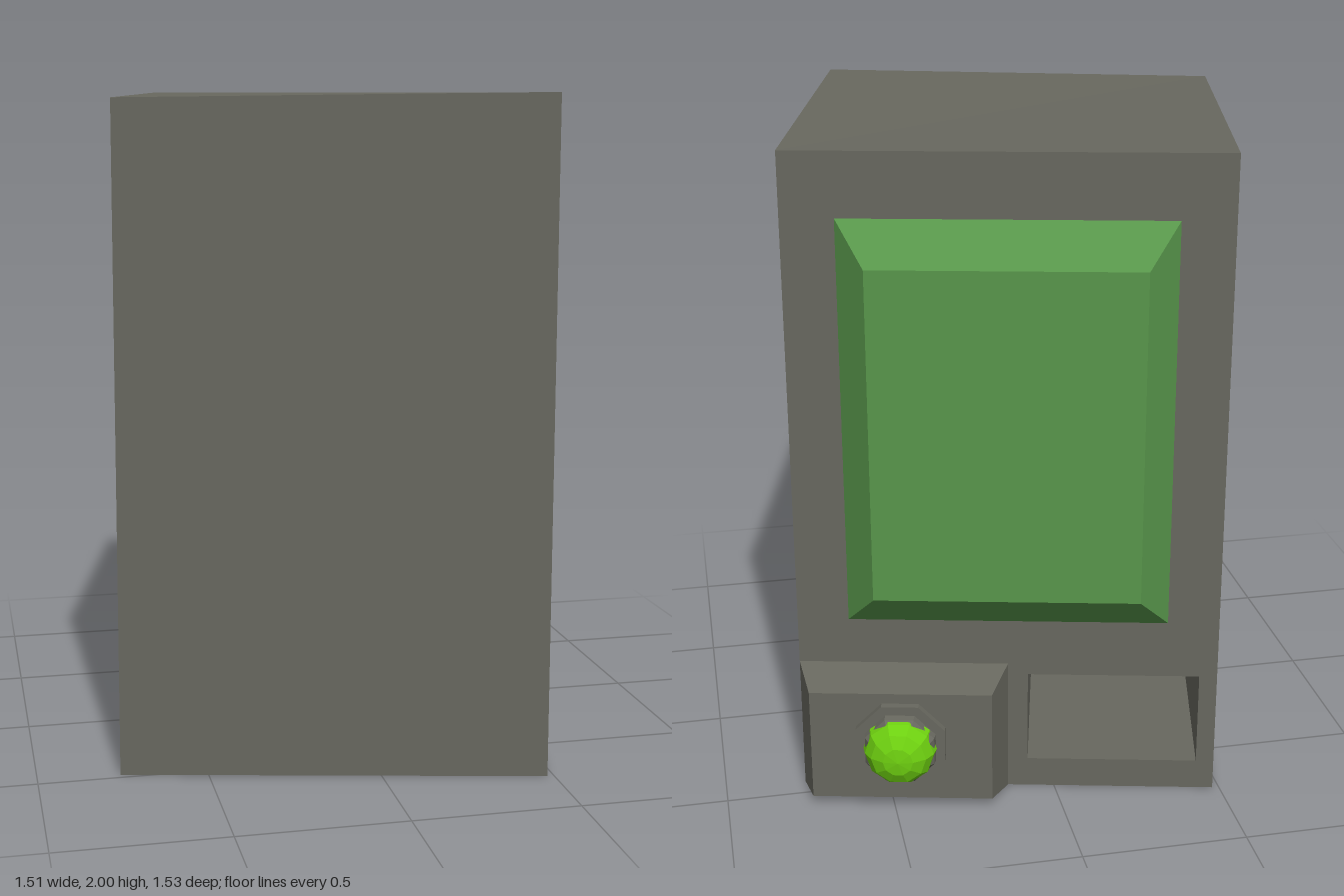
import * as THREE from 'three';

const W = 0.634, D = 0.616, H = 2; // half width, half depth, height of the case

const material = (name, color) => {
  const m = new THREE.MeshStandardMaterial({ color });
  m.name = name;
  return m;
};

// Faceted normals for low-poly shapes
function faceted(geometry) {
  const g = geometry.index ? geometry.toNonIndexed() : geometry;
  g.computeVertexNormals();
  return g;
}

// Box without one of its six faces (order: +x, -x, +y, -y, +z, -z)
function openBox(w, h, d, face) {
  const g = new THREE.BoxGeometry(w, h, d);
  const index = Array.from(g.index.array);
  index.splice(face * 6, 6);
  g.setIndex(index);
  g.clearGroups();
  return g;
}

// Block standing out from the back, with its outer face inset on all sides
function bevelledBlock(x0, x1, y0, y1, depth, insetX, insetY) {
  const g = new THREE.BoxGeometry(x1 - x0, y1 - y0, depth);
  const p = g.attributes.position;
  for (let i = 0; i < p.count; i++) {
    if (p.getZ(i) < 0) {
      p.setX(i, p.getX(i) - Math.sign(p.getX(i)) * insetX);
      p.setY(i, p.getY(i) - Math.sign(p.getY(i)) * insetY);
    }
  }
  g.translate((x0 + x1) / 2, (y0 + y1) / 2, -D - depth / 2);
  return faceted(g);
}

// Turned shape whose axis points out of the back
function turned(points, sides) {
  const g = new THREE.LatheGeometry(points.map(([r, y]) => new THREE.Vector2(r, y)), sides);
  g.rotateY(Math.PI / sides);
  g.rotateX(-Math.PI / 2);
  return faceted(g);
}

export function createModel() {
  const grey = material('case grey', 0x68685f);
  const green = material('window green', 0x58964b);
  const lime = material('bright lime', 0x6ed010);

  const model = new THREE.Group();
  model.name = 'cabinet';
  const body = new THREE.Group();
  body.name = 'turnedCabinet';
  body.rotation.y = -0.2265;
  body.position.z = 0.021;
  model.add(body);
  const add = (name, geometry, mat, parent = body) => {
    const mesh = new THREE.Mesh(geometry, mat);
    mesh.name = name;
    parent.add(mesh);
    return mesh;
  };

  // Case, open at the back, with one slightly sunken top corner
  const shell = openBox(2 * W, H, 2 * D, 5).translate(0, H / 2, 0);
  const p = shell.attributes.position;
  for (let i = 0; i < p.count; i++) {
    if (p.getX(i) < 0 && p.getY(i) > 1 && p.getZ(i) > 0) p.setXYZ(i, -W + 0.01, H - 0.015, D - 0.006);
  }
  add('case', faceted(shell), grey);

  // Back panel with the slot opening
  const slot = { x0: -0.58, x1: -0.06, y0: 0.095, y1: 0.39, depth: 0.6 };
  const panel = new THREE.Shape([[-W, 0], [W, 0], [W, H], [-W, H]].map(([x, y]) => new THREE.Vector2(-x, y)).reverse());
  panel.holes.push(new THREE.Path([
    [slot.x0, slot.y0], [slot.x1, slot.y0], [slot.x1, slot.y1], [slot.x0, slot.y1],
  ].map(([x, y]) => new THREE.Vector2(-x, y))));
  add('backPanel', new THREE.ShapeGeometry(panel).rotateY(Math.PI).translate(0, 0, -D), grey);

  // Slot interior: a box turned inside out, open at the back panel
  const inside = openBox(slot.x1 - slot.x0, slot.y1 - slot.y0, slot.depth, 4).scale(1, 1, -1);
  inside.translate((slot.x0 + slot.x1) / 2, (slot.y0 + slot.y1) / 2, -D + slot.depth / 2);
  add('slotInterior', faceted(inside), grey);

  // Window and control block
  add('window', bevelledBlock(-0.48, 0.48, 0.57, 1.81, 0.106, 0.088, 0.117), green);
  add('controlBlock', bevelledBlock(0, W, 0, 0.425, 0.134, 0.044, 0.034), grey);

  // Push button
  const button = new THREE.Group();
  button.name = 'button';
  button.position.set(0.318, 0.225, -0.75);
  body.add(button);
  add('buttonCollar', turned([[0.145, 0], [0.145, 0.022], [0.115, 0.022], [0.112, 0.045], [0.1, 0.062]], 8), grey, button);
  add('buttonDome', turned([[0.11, 0.03], [0.103, 0.062], [0.082, 0.092], [0.045, 0.112], [0, 0.118]], 10), lime, button);

  // Painted fan on the left side
  const fan = new THREE.Group();
  fan.name = 'fan';
  fan.position.set(W + 0.003, 0.84, 0.088);
  fan.rotation.y = Math.PI / 2;
  body.add(fan);
  add('fanHub', new THREE.CircleGeometry(0.088, 32), lime, fan);
  const blade = new THREE.Shape();
  blade.moveTo(0.005, 0.108);
  blade.lineTo(-0.006, 0.122);
  blade.lineTo(-0.15, 0.352);
  blade.bezierCurveTo(-0.14, 0.385, -0.035, 0.4, 0.015, 0.355);
  blade.bezierCurveTo(0.065, 0.305, 0.045, 0.22, 0.038, 0.122);
  blade.lineTo(0.03, 0.105);
  const bladeGeometry = new THREE.ShapeGeometry(blade, 12);
  for (let i = 0; i < 8; i++) {
    add('fanBlade', bladeGeometry, lime, fan).rotation.z = (i * Math.PI) / 4;
  }

  return model;
}
